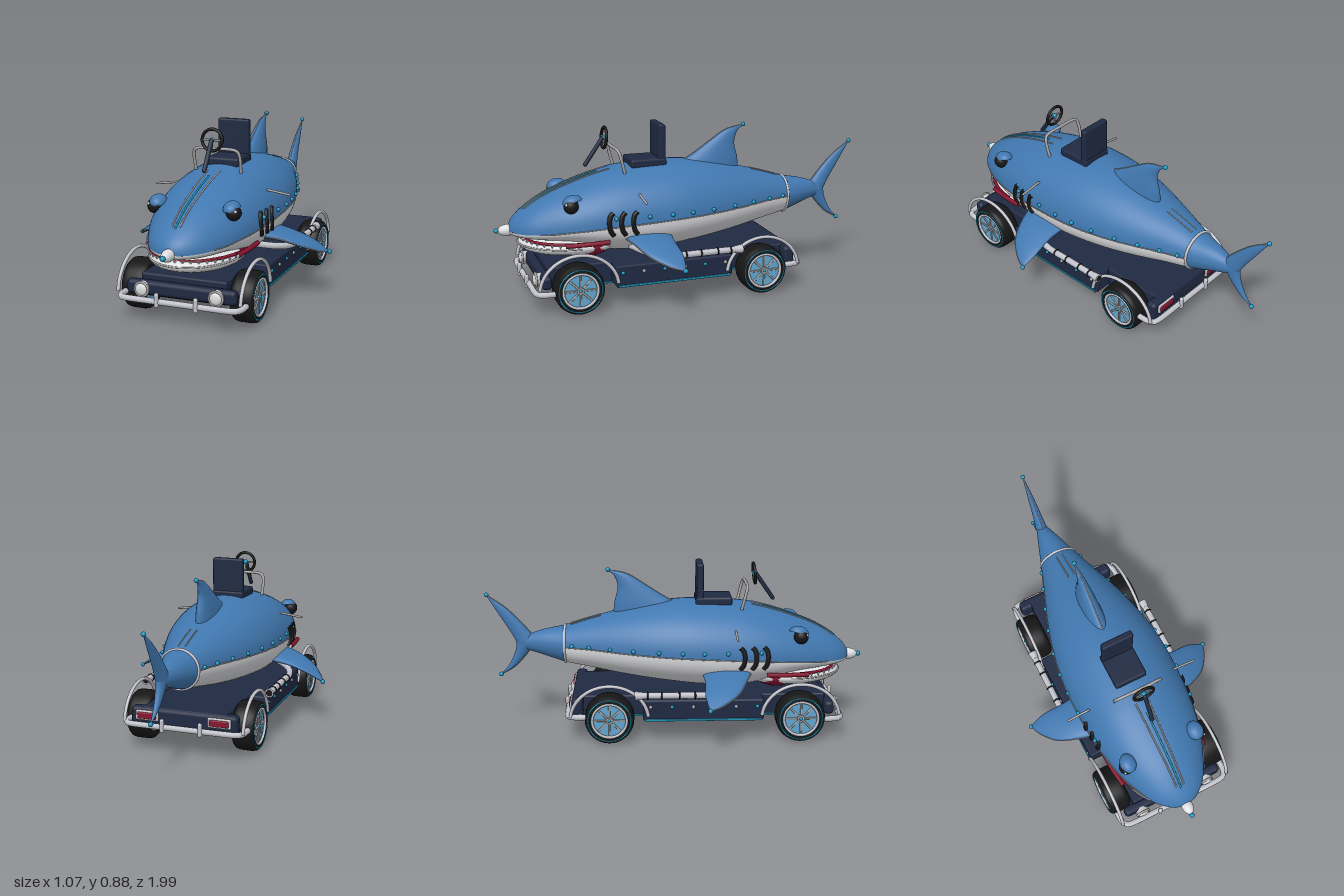
import * as THREE from 'three';
import { RoundedBoxGeometry } from 'three/addons/geometries/RoundedBoxGeometry.js';

const material = (name, color, side = THREE.FrontSide) => {
  const m = new THREE.MeshStandardMaterial({ color, side });
  m.name = name;
  return m;
};
const V = (x, y, z) => new THREE.Vector3(x, y, z);

export function createModel() {
  const blue = material('body blue', 0x4178b0, THREE.DoubleSide);
  const white = material('belly white', 0xdcdde0, THREE.DoubleSide);
  const navy = material('navy', 0x1f2942);
  const black = material('black', 0x161616);
  const cyan = material('cyan', 0x1b97bd);
  const chrome = material('warm grey', 0xa5a3a2);
  const pipe = material('pale grey', 0xc3c3cc);
  const red = material('crimson', 0x86152f);
  const sky = material('wheel blue', 0x62a5cf);

  const model = new THREE.Group();
  model.name = 'sharkCar';
  const add = (name, geo, mat, pos = [0, 0, 0], parent = model) => {
    const m = new THREE.Mesh(geo, mat);
    m.name = name;
    m.position.set(...pos);
    parent.add(m);
    return m;
  };
  const box = (name, size, mat, pos, r = 0.01, parent = model) =>
    add(name, new RoundedBoxGeometry(...size, 2, r), mat, pos, parent);
  const ball = (name, r, mat, pos, parent = model) => add(name, new THREE.SphereGeometry(r, 16, 12), mat, pos, parent);
  const tube = (name, pts, r, mat, tension = 0.5) =>
    add(name, new THREE.TubeGeometry(new THREE.CatmullRomCurve3(
      pts.map(p => (p.isVector3 ? p : V(...p))), false, 'catmullrom', tension), 40, r, 10), mat);
  const rod = (name, a, b, r, mat) => {
    add(name, new THREE.TubeGeometry(new THREE.LineCurve3(V(...a), V(...b)), 1, r, 12), mat);
    for (const p of [a, b]) ball(name + 'End', r, mat, p);
  };
  // Skin over rows of points with equal length
  const loft = (name, rows, mat, closed = false) => {
    const n = rows[0].length, idx = [];
    for (let i = 0; i < rows.length - 1; i++)
      for (let j = 0; j < (closed ? n : n - 1); j++) {
        const k = (j + 1) % n, a = i * n + j, b = i * n + k, c = a + n, d = b + n;
        idx.push(a, b, c, b, d, c);
      }
    const g = new THREE.BufferGeometry().setFromPoints(rows.flat());
    g.setIndex(idx);
    g.computeVertexNormals();
    return add(name, g, mat);
  };

  // Body stations: z, half width, top, waterline, bottom
  const stations = [
    [0.925, 0.012, 0.39, 0.375, 0.365], [0.9, 0.075, 0.435, 0.375, 0.35], [0.84, 0.14, 0.487, 0.378, 0.337],
    [0.75, 0.19, 0.543, 0.385, 0.325], [0.64, 0.235, 0.59, 0.397, 0.31], [0.5, 0.268, 0.637, 0.41, 0.265],
    [0.35, 0.284, 0.67, 0.42, 0.235], [0.15, 0.288, 0.683, 0.43, 0.235], [0, 0.275, 0.68, 0.435, 0.25],
    [-0.15, 0.245, 0.66, 0.44, 0.27], [-0.3, 0.2, 0.625, 0.445, 0.295], [-0.45, 0.145, 0.585, 0.45, 0.325],
    [-0.58, 0.1, 0.547, 0.45, 0.35], [-0.7, 0.06, 0.523, 0.455, 0.39], [-0.81, 0.02, 0.485, 0.455, 0.425]];
  const curveA = new THREE.CatmullRomCurve3(stations.map(s => V(s[0], s[1], s[2])), false, 'catmullrom');
  const curveB = new THREE.CatmullRomCurve3(stations.map(s => V(s[0], s[3], s[4])), false, 'catmullrom');
  const paramAt = z => {
    let lo = 0, hi = 1;
    for (let i = 0; i < 24; i++) {
      const t = (lo + hi) / 2;
      if (curveA.getPoint(t).x > z) lo = t; else hi = t;
    }
    return lo;
  };
  // Angle 0 is the left waterline, PI/2 the spine
  const skinAt = (t, a, out = 0) => {
    const A = curveA.getPoint(t), B = curveB.getPoint(t), s = Math.sin(a);
    return V((A.y + out) * Math.cos(a), B.y + s * ((s > 0 ? A.z - B.y : B.y - B.z) + out), A.x);
  };
  const skin = (z, a, out) => skinAt(paramAt(z), a, out);
  const skinAtY = (z, y, s, out = 0) => {
    const t = paramAt(z), A = curveA.getPoint(t), B = curveB.getPoint(t);
    const q = (y - B.y) / (y > B.y ? A.z - B.y : B.y - B.z);
    const a = Math.asin(THREE.MathUtils.clamp(q, -1, 1));
    return skinAt(t, s > 0 ? a : Math.PI - a, out);
  };
  const shell = (name, t0, t1, a0, a1, mat) => {
    const rows = [];
    for (let i = 0; i <= 50; i++) {
      const row = [];
      for (let j = 0; j <= 32; j++) row.push(skinAt(t0 + (t1 - t0) * i / 50, a0 + (a1 - a0) * j / 32));
      rows.push(row);
    }
    loft(name, rows, mat);
  };
  const tail = paramAt(-0.58);
  shell('upperBody', 0, tail, 0, Math.PI, blue);
  shell('belly', 0, tail, -Math.PI, 0, white);
  shell('tailStem', tail, 1, 0, 2 * Math.PI, blue);
  const ring = [];
  for (let i = 0; i <= 32; i++) ring.push(skin(-0.58, i / 32 * 2 * Math.PI, 0.001));
  tube('tailCollar', ring, 0.007, pipe);

  // Fins: lens sections from leading edge, trailing edge and half thickness
  const fin = (name, sections, normal) => {
    const ctrl = k => new THREE.CatmullRomCurve3(sections.map(s => (k < 2 ? V(...s[k]) : V(s[2], 0, 0))), false, 'catmullrom');
    const [lead, trail, thick] = [0, 1, 2].map(ctrl), rows = [];
    for (let i = 0; i <= 20; i++) {
      const L = lead.getPoint(i / 20), T = trail.getPoint(i / 20), h = thick.getPoint(i / 20).x, row = [];
      for (let j = 0; j < 24; j++) {
        const a = j / 24 * 2 * Math.PI;
        row.push(T.clone().lerp(L, 0.5 + 0.5 * Math.cos(a)).addScaledVector(normal, h * Math.sin(a)));
      }
      rows.push(row);
    }
    loft(name, rows, blue, true);
    tube(name + 'Edge', sections.map(s => s[0]), 0.003, chrome);
    ball(name + 'Tip', 0.012, cyan, sections[sections.length - 1][0]);
  };
  const X = V(1, 0, 0);
  fin('dorsalFin', [[[0, 0.64, 0.05], [0, 0.6, -0.325], 0.052], [[0, 0.7, -0.06], [0, 0.67, -0.318], 0.042],
    [[0, 0.765, -0.16], [0, 0.75, -0.3], 0.028], [[0, 0.82, -0.25], [0, 0.81, -0.318], 0.014],
    [[0, 0.842, -0.35], [0, 0.838, -0.352], 0.002]], X);
  fin('upperTailFin', [[[0, 0.48, -0.74], [0, 0.44, -0.83], 0.03], [[0, 0.565, -0.81], [0, 0.51, -0.865], 0.022],
    [[0, 0.645, -0.89], [0, 0.6, -0.92], 0.014], [[0, 0.712, -0.985], [0, 0.708, -0.985], 0.002]], X);
  fin('lowerTailFin', [[[0, 0.44, -0.75], [0, 0.48, -0.835], 0.028], [[0, 0.375, -0.8], [0, 0.41, -0.845], 0.02],
    [[0, 0.32, -0.855], [0, 0.335, -0.88], 0.012], [[0, 0.28, -0.925], [0, 0.282, -0.925], 0.002]], X);
  for (const s of [1, -1])
    fin('pectoralFin', [[[s * 0.22, 0.355, 0.39], [s * 0.22, 0.345, 0.13], 0.03],
      [[s * 0.33, 0.335, 0.355], [s * 0.33, 0.325, 0.14], 0.024], [[s * 0.43, 0.295, 0.305], [s * 0.43, 0.292, 0.135], 0.016],
      [[s * 0.495, 0.257, 0.225], [s * 0.495, 0.257, 0.145], 0.009], [[s * 0.525, 0.24, 0.155], [s * 0.524, 0.24, 0.153], 0.002]],
    V(s * 0.35, 0.94, 0).normalize());

  // Nose, mouth and lower jaw
  ball('nose', 0.03, white, [0, 0.376, 0.925]).scale.z = 1.7;
  ball('noseTip', 0.013, cyan, [0, 0.376, 0.982]);
  const ellipsoid = (name, radii, mat, pos) =>
    add(name, new THREE.SphereGeometry(1, 36, 20), mat, pos).scale.set(...radii);
  ellipsoid('lowerJaw', [0.225, 0.062, 0.285], white, [0, 0.303, 0.59]);
  ellipsoid('throat', [0.22, 0.085, 0.14], red, [0, 0.308, 0.53]);
  const arc = (rx, y, z, rz, lift) => {
    const pts = [];
    for (let i = 0; i <= 20; i++) {
      const a = Math.PI * i / 20;
      pts.push([rx * Math.cos(a), y + lift * Math.abs(Math.cos(a)), z + rz * Math.sin(a)]);
    }
    return pts;
  };
  tube('upperLip', arc(0.238, 0.325, 0.55, 0.29, 0.01), 0.008, red);
  tube('lowerLip', arc(0.222, 0.306, 0.59, 0.285, 0), 0.005, chrome);
  for (const s of [1, -1])
    tube('mouthCorner', [[s * 0.236, 0.332, 0.68], [s * 0.25, 0.335, 0.57], [s * 0.255, 0.338, 0.46]], 0.012, red);
  for (let i = 2; i <= 18; i++) {
    const a = Math.PI * i / 20;
    add('tooth', new THREE.ConeGeometry(0.008, 0.02, 6), white,
      [0.232 * Math.cos(a), 0.32, 0.57 + 0.285 * Math.sin(a)]).rotation.x = Math.PI;
  }

  // Hood stripes and rear spine strips
  const strip = (name, z0, z1, a, r, mat) => tube(name,
    Array.from({ length: 12 }, (_, i) => skin(z0 + (z1 - z0) * i / 11, a(z0 + (z1 - z0) * i / 11), 0.001)), r, mat);
  const offset = x => z => Math.acos(x(z) / curveA.getPoint(paramAt(z)).y);
  strip('hoodStripe', 0.46, 0.85, () => Math.PI / 2, 0.0045, cyan);
  for (const s of [1, -1]) {
    strip('hoodTrim', 0.4, 0.84, offset(z => s * (0.033 - 0.03 * (z - 0.4))), 0.004, chrome);
    strip('spineTrim', -0.39, -0.55, offset(() => s * 0.018), 0.003, chrome);
    strip('waterlineTrim', 0.91, -0.575, () => (s > 0 ? 0 : Math.PI), 0.003, chrome);

    // Eyes, gills and studs
    ball('eye', 0.038, black, [s * 0.203, 0.525, 0.64]);
    ball('eyeGlint', 0.007, white, [s * 0.223, 0.538, 0.668]);
    const lid = add('eyelid', new THREE.SphereGeometry(0.046, 24, 12, 0, Math.PI * 2, 0, Math.PI / 2), blue, [s * 0.19, 0.543, 0.63]);
    lid.rotation.z = s * 0.15;
    lid.rotation.x = 0.2;
    lid.scale.set(0.9, 0.75, 1.1);
    for (const z of [0.455, 0.395, 0.335])
      tube('gill', [0.375, 0.4, 0.435, 0.47, 0.488].map((y, i) =>
        skinAtY(z + [-0.012, 0.004, 0.01, 0.004, -0.012][i], y, s)), 0.012, black);
    for (const z of [0.43, 0.26, 0.14, 0.03, -0.09, -0.22, -0.34, -0.45, -0.54])
      ball('bodyStud', 0.011, cyan, skinAtY(z, 0.46, s, 0.003).toArray());
    rod('sidePeg', [s * 0.245, 0.566, 0.3], [s * 0.36, 0.55, 0.3], 0.006, chrome);
  }

  // Seat, grab bar and steering
  box('seatCushion', [0.172, 0.045, 0.19], navy, [0, 0.685, 0.2], 0.012);
  box('seatBack', [0.168, 0.2, 0.036], navy, [0, 0.782, 0.128], 0.01);
  tube('grabBar', [[-0.12, 0.65, 0.34], [-0.122, 0.73, 0.36], [-0.1, 0.765, 0.37], [0, 0.768, 0.372],
    [0.1, 0.765, 0.37], [0.122, 0.73, 0.36], [0.12, 0.65, 0.34]], 0.008, chrome);
  rod('steeringColumn', [0, 0.685, 0.515], [0, 0.815, 0.425], 0.011, navy);
  const steering = new THREE.Group();
  steering.name = 'steeringWheel';
  steering.position.set(0, 0.818, 0.415);
  steering.rotation.x = -0.1;
  model.add(steering);
  add('steeringRim', new THREE.TorusGeometry(0.053, 0.008, 10, 36), black, [0, 0, 0], steering);
  box('steeringSpoke', [0.1, 0.01, 0.008], chrome, [0, 0, 0], 0.003, steering);
  box('steeringSpoke', [0.01, 0.05, 0.008], chrome, [0, -0.025, 0], 0.003, steering);
  ball('steeringHub', 0.013, cyan, [0, 0, 0], steering);

  // Chassis
  box('chassisSpine', [0.44, 0.11, 1.3], navy, [0, 0.172, 0.12]);
  box('chassisDeck', [0.62, 0.11, 0.62], navy, [0, 0.172, 0.135]);
  box('frontPanel', [0.56, 0.07, 0.05], navy, [0, 0.163, 0.785], 0.02);
  box('rearPanel', [0.56, 0.1, 0.06], navy, [0, 0.175, -0.51], 0.02);
  box('underTray', [0.42, 0.008, 1.28], black, [0, 0.115, 0.12], 0.003);
  box('underTray', [0.6, 0.008, 0.6], black, [0, 0.114, 0.135], 0.003);
  // Bumpers
  for (const [name, z0, z1, y] of [['frontBumper', 0.72, 0.845, 0.118], ['rearBumper', -0.4, -0.56, 0.14]]) {
    const d = Math.sign(z1) * 0.05;
    tube(name, [[-0.31, y, z0], [-0.31, y, z1 - d], [-0.295, y, z1 - d * 0.2], [-0.24, y, z1], [0, y, z1], [0.24, y, z1],
      [0.295, y, z1 - d * 0.2], [0.31, y, z1 - d], [0.31, y, z0]], 0.015, pipe, 0.35);
    for (const s of [1, -1]) rod('bumperPost', [s * 0.1, y - 0.015, z1 + d * 0.2], [s * 0.1, y + 0.035, z1 + d * 0.2], 0.011, pipe);
  }

  const tireProfile = [[0.085, -0.055], [0.112, -0.058], [0.122, -0.048], [0.126, -0.03], [0.126, 0.03],
    [0.122, 0.048], [0.112, 0.058], [0.085, 0.055]].map(p => new THREE.Vector2(...p));
  for (const s of [1, -1]) {
    // Lamps, sill lines and sill studs
    add('headlight', new THREE.CylinderGeometry(0.034, 0.034, 0.03, 28).rotateX(Math.PI / 2), pipe, [s * 0.19, 0.163, 0.815]);
    add('headlightRing', new THREE.TorusGeometry(0.034, 0.006, 8, 28), chrome, [s * 0.19, 0.163, 0.828]);
    ellipsoid('headlightLens', [0.03, 0.03, 0.012], white, [s * 0.19, 0.163, 0.83]);
    box('tailLightFrame', [0.12, 0.05, 0.016], pipe, [s * 0.19, 0.185, -0.54], 0.007);
    box('tailLight', [0.1, 0.034, 0.016], red, [s * 0.19, 0.185, -0.546], 0.007);
    box('sillLine', [0.008, 0.012, 0.6], cyan, [s * 0.31, 0.12, 0.135], 0.003);
    box('underLine', [0.01, 0.01, 1.28], cyan, [s * 0.216, 0.117, 0.12], 0.003);
    for (let i = 0; i < 6; i++)
      ball('sillStud', 0.009, i % 2 ? chrome : cyan, [s * 0.311, 0.19, 0.41 - i * 0.109]);

    // Side exhaust
    tube('exhaust', [[s * 0.2, 0.295, 0.34], [s * 0.29, 0.275, 0.27], [s * 0.335, 0.262, 0.17], [s * 0.34, 0.262, 0],
      [s * 0.34, 0.262, -0.2]], 0.017, pipe);
    add('exhaustTip', new THREE.CylinderGeometry(0.018, 0.023, 0.04, 20).rotateX(Math.PI / 2), pipe, [s * 0.34, 0.262, -0.195]);
    add('exhaustBore', new THREE.CircleGeometry(0.017, 20).rotateY(Math.PI), black, [s * 0.34, 0.262, -0.216]);
    for (const z of [0.09, 0.01, -0.08, -0.15])
      add('exhaustBand', new THREE.TorusGeometry(0.017, 0.004, 8, 20), black, [s * 0.34, 0.262, z]);

    for (const z of [0.632, -0.345]) {
      // Wheel, built with its outer face on +x
      const wheel = new THREE.Group();
      wheel.name = 'wheel';
      wheel.position.set(s * 0.281, 0.127, z);
      if (s < 0) wheel.rotation.y = Math.PI;
      model.add(wheel);
      add('tire', new THREE.LatheGeometry(tireProfile, 48).rotateZ(-Math.PI / 2), black, [0, 0, 0], wheel);
      add('rimDisc', new THREE.CylinderGeometry(0.087, 0.087, 0.09, 40).rotateZ(Math.PI / 2), sky, [0, 0, 0], wheel);
      const hoop = (name, r, w, mat, x) =>
        add(name, new THREE.TorusGeometry(r, w, 8, 40).rotateY(Math.PI / 2), mat, [x, 0, 0], wheel);
      hoop('rimRing', 0.088, 0.007, pipe, 0.053);
      hoop('tireStripe', 0.109, 0.004, cyan, 0.056);
      for (let i = 0; i < 8; i++) {
        const a = i * Math.PI / 4;
        const spoke = box('spoke', [0.012, 0.065, 0.01], chrome, [0.045, 0.05 * Math.cos(a), 0.05 * Math.sin(a)], 0.004, wheel);
        spoke.rotation.x = a;
      }
      add('hub', new THREE.CylinderGeometry(0.018, 0.022, 0.02, 20).rotateZ(-Math.PI / 2), chrome, [0.044, 0, 0], wheel);
      ball('hubCap', 0.009, cyan, [0.052, 0, 0], wheel);

      // Fender hoop
      const hoopPts = [];
      for (let i = 0; i <= 14; i++) {
        const a = 0.12 + i / 14 * (Math.PI - 0.24);
        hoopPts.push([s * 0.312, 0.12 + 0.183 * Math.sin(a), z + 0.2 * Math.cos(a)]);
      }
      tube('fenderHoop', hoopPts, 0.009, pipe);
    }
  }
  return model;
}
